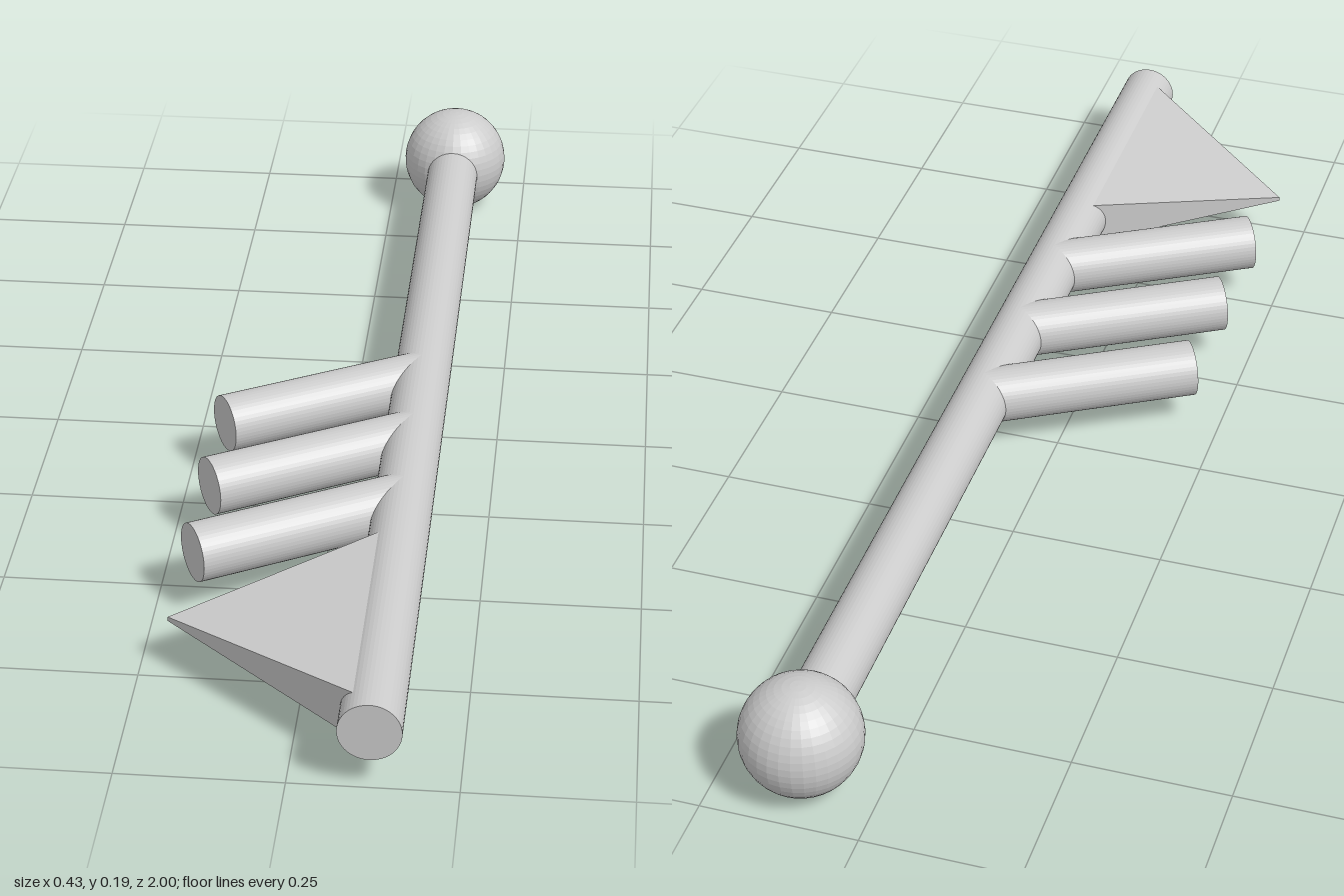
import * as THREE from 'three';

const R = 0.047;            // radius of shaft and pegs
const X = 0.12, Y = 0.095;  // position of the shaft axis

export function createModel() {
  const model = new THREE.Group();
  const material = new THREE.MeshStandardMaterial({ color: 0xcccccc, flatShading: true });

  const add = (name, geometry) => {
    const mesh = new THREE.Mesh(geometry, material);
    mesh.name = name;
    model.add(mesh);
    return mesh;
  };

  // capped rod between two points
  const rod = (name, from, to) => {
    const dir = to.clone().sub(from);
    const mesh = add(name, new THREE.CylinderGeometry(R, R, dir.length(), 48));
    mesh.position.copy(from).add(to).multiplyScalar(0.5);
    mesh.quaternion.setFromUnitVectors(new THREE.Vector3(0, 1, 0), dir.normalize());
  };

  // long shaft with a ball at the back end
  rod('shaft', new THREE.Vector3(X, Y, -0.9), new THREE.Vector3(X, Y, 1));
  add('ball', new THREE.SphereGeometry(0.095, 32, 24)).position.set(X, Y, -0.905);

  // three parallel pegs slanting forward at 30 degrees
  for (let i = 0; i < 3; i++) {
    const z = 0.15 + i * 0.2;
    rod(`peg${i + 1}`, new THREE.Vector3(-0.192, Y, z), new THREE.Vector3(X, Y, z - 0.18));
  }

  // triangular fin, thick at the shaft and thin at its tip
  const tipX = -0.207, baseX = 0.11;
  const outline = new THREE.Shape([
    new THREE.Vector2(tipX, 0.72),
    new THREE.Vector2(baseX, 0.515),
    new THREE.Vector2(baseX, 0.972),
  ]);
  const fin = new THREE.ExtrudeGeometry(outline, { depth: 1, bevelEnabled: false });
  fin.rotateX(Math.PI / 2);
  const p = fin.attributes.position;
  for (let i = 0; i < p.count; i++) {
    const t = (p.getX(i) - tipX) / (baseX - tipX);
    const top = p.getY(i) > -0.5;
    p.setY(i, top ? THREE.MathUtils.lerp(0.087, 0.136, t) : THREE.MathUtils.lerp(0.08, 0.054, t));
  }
  fin.computeVertexNormals();
  add('fin', fin);

  return model;
}
